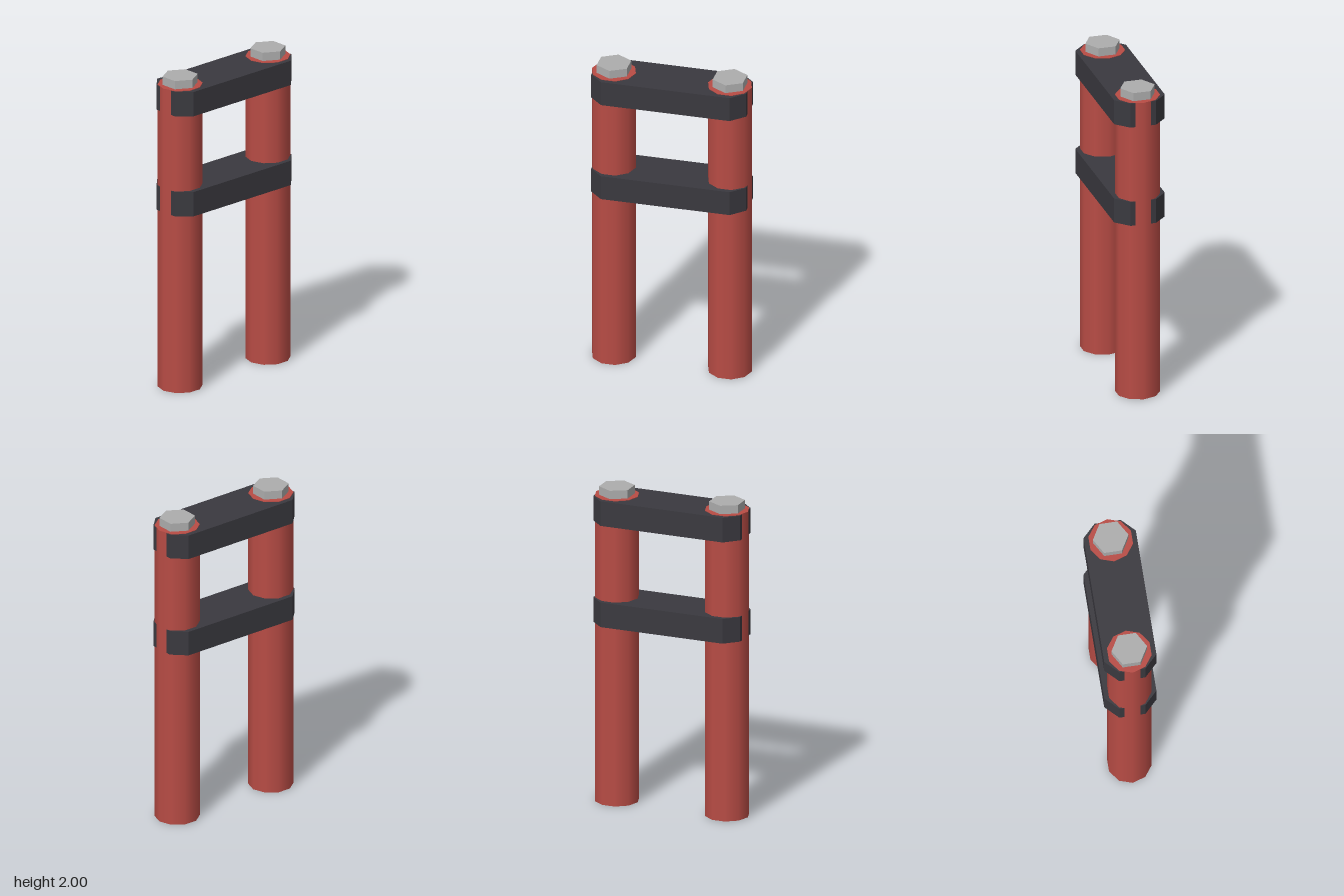
import * as THREE from 'three';

export function createModel() {
  const model = new THREE.Group();
  model.name = 'twinTubeClamp';

  const red = new THREE.MeshStandardMaterial({ name: 'red', color: 0xb84c45 });
  const charcoal = new THREE.MeshStandardMaterial({ name: 'charcoal', color: 0x3a393f });
  const steel = new THREE.MeshStandardMaterial({ name: 'steel', color: 0xadadad });

  const add = (name, geometry, material, y, z) => {
    const mesh = new THREE.Mesh(geometry, material);
    mesh.name = name;
    mesh.position.set(0, y, z);
    model.add(mesh);
  };

  // Tubes, each capped with a hex bolt
  const tubeTop = 1.947;
  const tube = new THREE.CylinderGeometry(0.137, 0.137, tubeTop, 10);
  const bolt = new THREE.CylinderGeometry(0.109, 0.109, 2 - tubeTop, 6, 1, false, Math.PI / 2).toNonIndexed();
  bolt.computeVertexNormals();
  for (const [side, z] of [['front', 0.363], ['back', -0.363]]) {
    add(side + 'Tube', tube, red, tubeTop / 2, z);
    add(side + 'Bolt', bolt, steel, (2 + tubeTop) / 2, z);
  }

  // Clamp plates with chamfered corners, extruded upwards
  const outline = new THREE.Shape([
    [0.16, -0.403], [0.16, 0.403], [0.08, 0.484], [-0.08, 0.484],
    [-0.16, 0.403], [-0.16, -0.403], [-0.08, -0.484], [0.08, -0.484],
  ].map(([x, z]) => new THREE.Vector2(x, z)));
  const plate = new THREE.ExtrudeGeometry(outline, { depth: 0.157, bevelEnabled: false });
  plate.rotateX(-Math.PI / 2);
  add('upperClamp', plate, charcoal, 1.787, 0);
  add('lowerClamp', plate, charcoal, 1.142, 0);

  return model;
}
